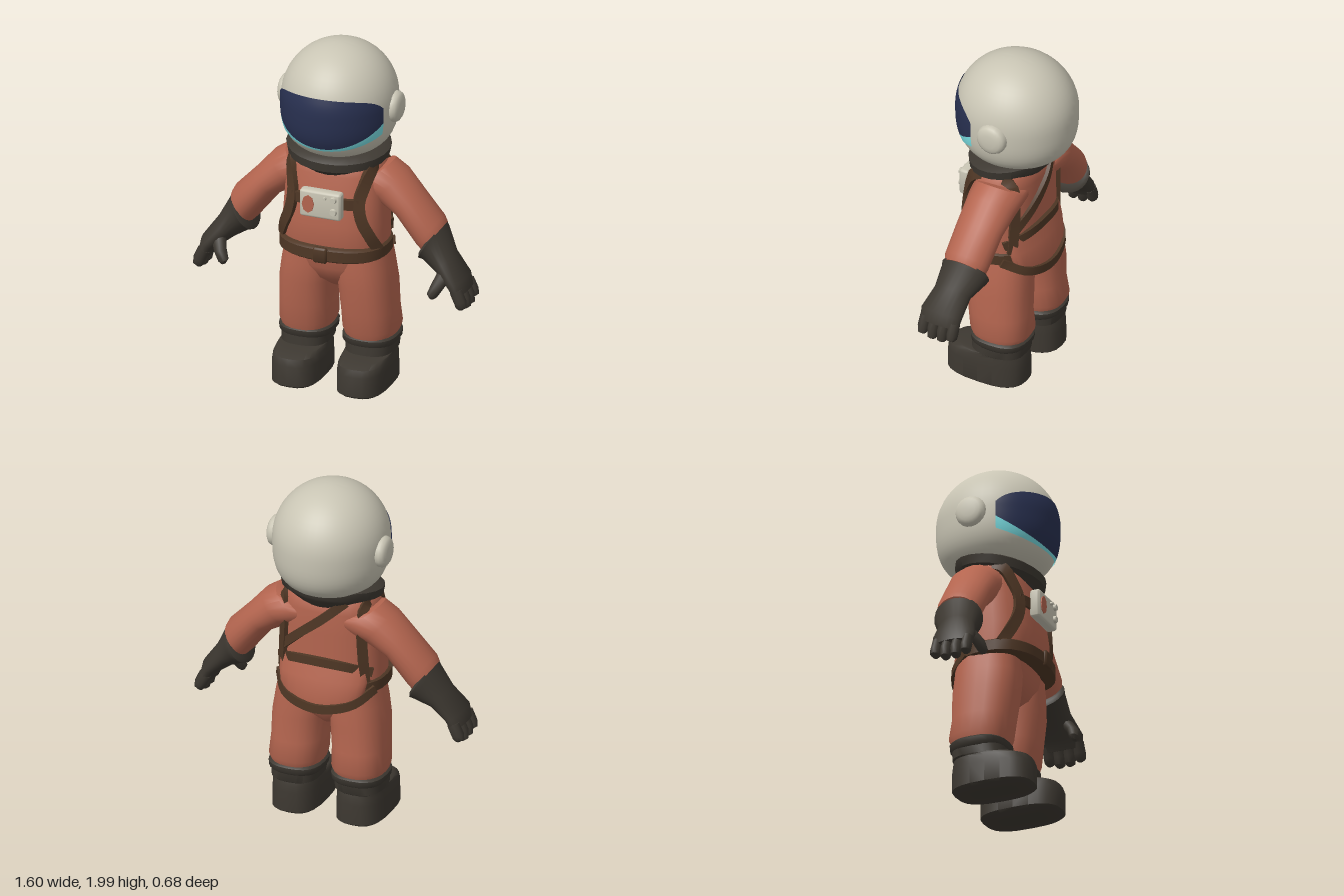
import * as THREE from 'three';
import { toCreasedNormals } from 'three/addons/utils/BufferGeometryUtils.js';
import { RoundedBoxGeometry } from 'three/addons/geometries/RoundedBoxGeometry.js';

const paint = (name, color) => {
  const m = new THREE.MeshStandardMaterial({ color });
  m.name = name;
  return m;
};

// Superellipse rings [x, y, z, rx, rz, tilt about z], listed along local "up", with closed ends
function loft(rings, power = 2, sides = 24) {
  const pos = [], idx = [], n = sides;
  const se = (v) => Math.sign(v) * Math.abs(v) ** (2 / power);
  for (const [x, y, z, rx, rz, tilt = 0] of rings) {
    for (let j = 0; j < n; j++) {
      const a = (j / n) * Math.PI * 2, u = rx * se(Math.cos(a));
      pos.push(x + u * Math.cos(tilt), y + u * Math.sin(tilt), z + rz * se(Math.sin(a)));
    }
  }
  for (let i = 0; i < rings.length - 1; i++) {
    for (let j = 0; j < n; j++) {
      const a = i * n + j, b = i * n + (j + 1) % n;
      idx.push(a, a + n, b, b, a + n, b + n);
    }
  }
  const last = rings.length - 1, c = pos.length / 3;
  pos.push(...rings[0].slice(0, 3), ...rings[last].slice(0, 3));
  for (let j = 0; j < n; j++) {
    const k = (j + 1) % n;
    idx.push(c, j, k, c + 1, last * n + k, last * n + j);
  }
  return fromData(pos, idx);
}

function fromData(pos, idx) {
  const g = new THREE.BufferGeometry();
  g.setAttribute('position', new THREE.Float32BufferAttribute(pos, 3));
  g.setIndex(idx);
  g.computeVertexNormals();
  return g;
}

const crease = (g) => toCreasedNormals(g.index ? g.toNonIndexed() : g, 0.8);

// Mirror across x = 0, turning the faces round again
function mirror(g) {
  const m = (g.index ? g.toNonIndexed() : g.clone()).scale(-1, 1, 1);
  const p = m.attributes.position, a = new THREE.Vector3(), b = new THREE.Vector3();
  for (let i = 0; i < p.count; i += 3) {
    a.fromBufferAttribute(p, i + 1);
    b.fromBufferAttribute(p, i + 2);
    p.setXYZ(i + 1, b.x, b.y, b.z);
    p.setXYZ(i + 2, a.x, a.y, a.z);
  }
  return m;
}

// Torso cross-sections
const TORSO_POWER = 2.5;
const TORSO = [
  [0, 0.81, 0.035, 0.295, 0.20], [0, 0.88, 0.045, 0.295, 0.21], [0, 1.0, 0.045, 0.295, 0.21],
  [0, 1.15, 0.035, 0.288, 0.20], [0, 1.28, 0.02, 0.278, 0.185], [0, 1.35, 0.015, 0.262, 0.17],
  [0, 1.39, 0.01, 0.21, 0.13],
];

// Point on the front (side 1) or back (side -1) of the torso
function onTorso(x, y, side) {
  let i = 0;
  while (i < TORSO.length - 2 && y > TORSO[i + 1][1]) i++;
  const t = (y - TORSO[i][1]) / (TORSO[i + 1][1] - TORSO[i][1]);
  const [, , cz, rx, rz] = TORSO[i].map((v, k) => v + (TORSO[i + 1][k] - v) * t);
  const u = Math.min(Math.abs(x) / rx, 0.98);
  return [x, y, cz + side * rz * (1 - u ** TORSO_POWER) ** (1 / TORSO_POWER)];
}

// Flat strap along a curve, facing away from the body axis
function strap(points, width = 0.06, thick = 0.02) {
  const curve = new THREE.CatmullRomCurve3(points.map((p) => new THREE.Vector3(...p)));
  const n = 20, pos = [], idx = [];
  for (let i = 0; i <= n; i++) {
    const p = curve.getPointAt(i / n), t = curve.getTangentAt(i / n);
    const out = new THREE.Vector3(p.x * 0.5, 0, p.z - 0.03);
    out.addScaledVector(t, -out.dot(t)).normalize();
    const across = new THREE.Vector3().crossVectors(out, t);
    for (const [a, o] of [[-1, -1], [1, -1], [1, 1], [-1, 1]]) {
      const v = p.clone().addScaledVector(across, a * width / 2).addScaledVector(out, o * thick);
      pos.push(v.x, v.y, v.z);
    }
    if (i < n) {
      for (let j = 0; j < 4; j++) {
        const a = i * 4 + j, b = i * 4 + (j + 1) % 4;
        idx.push(a, b, a + 4, b, b + 4, a + 4);
      }
    }
  }
  const e = n * 4;
  idx.push(0, 2, 1, 0, 3, 2, e, e + 1, e + 2, e, e + 2, e + 3);
  return fromData(pos, idx);
}

// Helmet: round above, fuller below; relative radius at height dy from its centre
const HELMET_Y = 1.68;
const helmetR = (dy) => (dy > 0 ? Math.sqrt(Math.max(0, 1 - (dy / 0.32) ** 2))
  : Math.max(0, 1 - (-dy / 0.305) ** 3) ** (1 / 3));

// Thin patch lying on the helmet front between two height functions of t in -1..1
function helmetPatch(lo, hi) {
  const cols = 40, rows = 12, pos = [], idx = [];
  for (let i = 0; i <= rows; i++) {
    for (let j = 0; j <= cols; j++) {
      const t = (j / cols) * 2 - 1, a = t * 1.21;
      const dy = lo(t) + (hi(t) - lo(t)) * (i / rows), r = helmetR(dy) + 0.012;
      pos.push(0.32 * r * Math.sin(a), HELMET_Y + dy, 0.34 * r * Math.cos(a));
      if (i < rows && j < cols) {
        const k = i * (cols + 1) + j, u = k + cols + 1;
        idx.push(k, k + 1, u, k + 1, u + 1, u);
      }
    }
  }
  return fromData(pos, idx);
}

export function createModel() {
  const root = new THREE.Group();
  root.name = 'spacesuitFigure';
  const suit = paint('suitOrange', 0xb4654f), shell = paint('shellCream', 0xc9c5b4);
  const dark = paint('rubberDark', 0x3d3831), brown = paint('strapBrown', 0x4f3725);
  const navy = paint('visorNavy', 0x283050), cyan = paint('visorCyan', 0x7ae0e5);
  navy.side = cyan.side = THREE.DoubleSide;

  const add = (name, geo, mat) => {
    const m = new THREE.Mesh(crease(geo), mat);
    m.name = name;
    root.add(m);
  };
  const both = (name, geo, mat) => {
    add(name + 'Left', geo, mat);
    add(name + 'Right', mirror(geo), mat);
  };

  // Helmet, visor and ear caps
  const profile = [];
  for (let i = 0; i <= 28; i++) {
    const c = -Math.cos((i / 28) * Math.PI), dy = c * (c > 0 ? 0.32 : 0.305);
    profile.push(new THREE.Vector2(i % 28 ? helmetR(dy) : 0, HELMET_Y + dy));
  }
  add('helmet', new THREE.LatheGeometry(profile, 48).scale(0.32, 1, 0.34), shell);
  const top = (t) => 0.11 - 0.05 * t * t - 0.04 * t ** 8;
  const bottom = (t) => -0.207 + 0.07 * t * t;
  const split = (t) => bottom(t) + 0.014 + 0.055 * t * t;
  add('visor', helmetPatch(split, top), navy);
  add('visorLowerBand', helmetPatch(bottom, split), cyan);
  const cap = [[0, 0], [0.088, 0], [0.088, 0.035], [0.08, 0.052], [0.064, 0.062], [0.04, 0.067], [0, 0.069]];
  both('earCap', new THREE.LatheGeometry(cap.map((p) => new THREE.Vector2(...p)), 20)
    .rotateZ(-Math.PI / 2).translate(0.288, 1.655, -0.02), shell);

  // Collar, sloping down towards the front
  const collar = loft([[0, 1.29, 0.01, 0.18, 0.17], [0, 1.34, 0.01, 0.24, 0.215],
    [0, 1.36, 0.015, 0.285, 0.235], [0, 1.41, 0.015, 0.295, 0.24], [0, 1.43, 0.015, 0.25, 0.21]]);
  const cp = collar.attributes.position;
  for (let i = 0; i < cp.count; i++) cp.setY(i, cp.getY(i) - 0.15 * cp.getZ(i));
  add('collar', collar, dark);

  // Torso, pelvis, loose cloth at the back, legs and sleeves
  add('torso', loft(TORSO, TORSO_POWER, 32), suit);
  add('pelvis', loft([[0, 0.57, 0, 0.04, 0.07], [0, 0.64, 0.01, 0.18, 0.15],
    [0, 0.72, 0.015, 0.28, 0.187], [0, 0.83, 0.02, 0.295, 0.195]], 2.4), suit);
  add('backFlap', loft([[0, 0.71, -0.14, 0.17, 0.07], [0, 0.78, -0.13, 0.24, 0.085],
    [0, 0.88, -0.11, 0.26, 0.08], [0, 0.98, -0.09, 0.26, 0.07]]), suit);
  both('leg', loft([[0.185, 0.28, -0.01, 0.135, 0.15], [0.185, 0.34, -0.015, 0.155, 0.175],
    [0.18, 0.45, 0, 0.152, 0.175], [0.172, 0.6, 0.01, 0.155, 0.187],
    [0.155, 0.72, 0.015, 0.155, 0.185], [0.15, 0.82, 0.015, 0.14, 0.18]], 2.4), suit);
  both('sleeve', loft([[0.56, 0.93, 0.01, 0.1, 0.12, 0.95], [0.535, 0.965, 0.01, 0.105, 0.13, 0.9],
    [0.41, 1.11, 0, 0.095, 0.135, 0.8], [0.3, 1.2, -0.01, 0.12, 0.145, 0.8],
    [0.19, 1.245, -0.01, 0.15, 0.15, 0.65], [0.1, 1.25, -0.01, 0.13, 0.13, 0.4]]), suit);

  // Boots with a long flat toe and a cuff
  both('boot', loft([[0.19, 0.01, 0.065, 0.125, 0.215], [0.19, 0.025, 0.065, 0.14, 0.235],
    [0.19, 0.14, 0.065, 0.138, 0.235], [0.19, 0.18, 0.06, 0.135, 0.225],
    [0.19, 0.2, 0.035, 0.13, 0.195], [0.188, 0.206, -0.01, 0.135, 0.155],
    [0.185, 0.29, -0.015, 0.14, 0.155]], 2.8), dark);
  both('bootCuff', loft([[0.185, 0.25, -0.015, 0.14, 0.15], [0.185, 0.265, -0.015, 0.153, 0.165],
    [0.185, 0.295, -0.015, 0.155, 0.167], [0.185, 0.31, -0.015, 0.14, 0.15]], 2.6), dark);

  // Gloves with four fingers and a thumb
  both('glove', loft([[0.745, 0.66, 0.06, 0.042, 0.115, 0.4], [0.72, 0.72, 0.06, 0.055, 0.125, 0.5],
    [0.637, 0.81, 0.04, 0.072, 0.108, 0.85], [0.565, 0.895, 0.01, 0.11, 0.135, 1.03],
    [0.545, 0.91, 0.01, 0.122, 0.142, 1.03], [0.535, 0.917, 0.01, 0.105, 0.125, 1.03]]), dark);
  for (let i = 0; i < 4; i++) {
    const z = -0.03 + i * 0.06, drop = [0.02, 0, 0, 0.015][i];
    both('finger' + (i + 1), loft([[0.765, 0.57 + drop, z, 0.014, 0.014, 0.1],
      [0.768, 0.585 + drop, z, 0.032, 0.028, 0.1], [0.762, 0.63, z, 0.036, 0.032, 0.25],
      [0.735, 0.69, z, 0.036, 0.03, 0.4]], 2, 10), dark);
  }
  both('thumb', loft([[0.607, 0.64, 0.185, 0.012, 0.012, -0.3], [0.61, 0.66, 0.182, 0.03, 0.028, -0.3],
    [0.635, 0.71, 0.165, 0.036, 0.035, -0.3], [0.67, 0.785, 0.1, 0.045, 0.045, -0.3]], 2, 10), dark);

  // Belt and harness
  add('belt', loft([[0, 0.8, 0.055, 0.295, 0.225], [0, 0.81, 0.055, 0.31, 0.238],
    [0, 0.87, 0.055, 0.31, 0.238], [0, 0.88, 0.055, 0.295, 0.225]], 2.4, 32), brown);
  add('buckle', new RoundedBoxGeometry(0.08, 0.09, 0.03, 2, 0.012).translate(0, 0.842, 0.293), brown);
  const along = (side, pts) => pts.map(([x, y]) => onTorso(x, y, side));
  both('frontStrap', strap([[0.235, 1.375, 0.02], ...along(1, [[0.23, 1.32], [0.208, 1.24],
    [0.19, 1.15], [0.205, 1.05], [0.245, 0.95], [0.275, 0.86]])], 0.065), brown);
  both('backStrap', strap([[0.235, 1.375, 0.02], ...along(-1, [[0.23, 1.32], [0.225, 1.2],
    [0.23, 1.05], [0.24, 0.88]])], 0.055), brown);
  add('chestStrap', strap(along(1, [[-0.19, 1.14], [-0.1, 1.14], [0.1, 1.14], [0.19, 1.14]])), brown);
  add('backDiagonalStrap', strap(along(-1, [[-0.14, 1.36], [-0.02, 1.25], [0.12, 1.13], [0.23, 1.02]]), 0.05), brown);
  add('backCrossStrap', strap(along(-1, [[-0.27, 0.93], [-0.13, 0.98], [0.13, 0.98], [0.27, 0.93]]), 0.05), brown);
  add('flapStrap', strap([[-0.28, 0.83, -0.06], [-0.19, 0.76, -0.17], [0, 0.72, -0.21],
    [0.19, 0.76, -0.17], [0.28, 0.83, -0.06]], 0.05), brown);

  // Chest control box
  add('controlBox', new RoundedBoxGeometry(0.24, 0.16, 0.06, 2, 0.015).translate(0, 1.142, 0.27), shell);
  add('controlPatch', new THREE.CylinderGeometry(1, 1, 0.008, 8).rotateX(Math.PI / 2)
    .scale(0.035, 0.052, 1).translate(-0.068, 1.142, 0.302), suit);
  for (const [x, y, r] of [[0.08, 1.187, 0.02], [0.08, 1.115, 0.022], [0.03, 1.19, 0.01]]) {
    add('controlKnob', new THREE.CylinderGeometry(r * 0.8, r, 0.018, 12).rotateX(Math.PI / 2)
      .translate(x, y, 0.306), shell);
  }
  return root;
}
